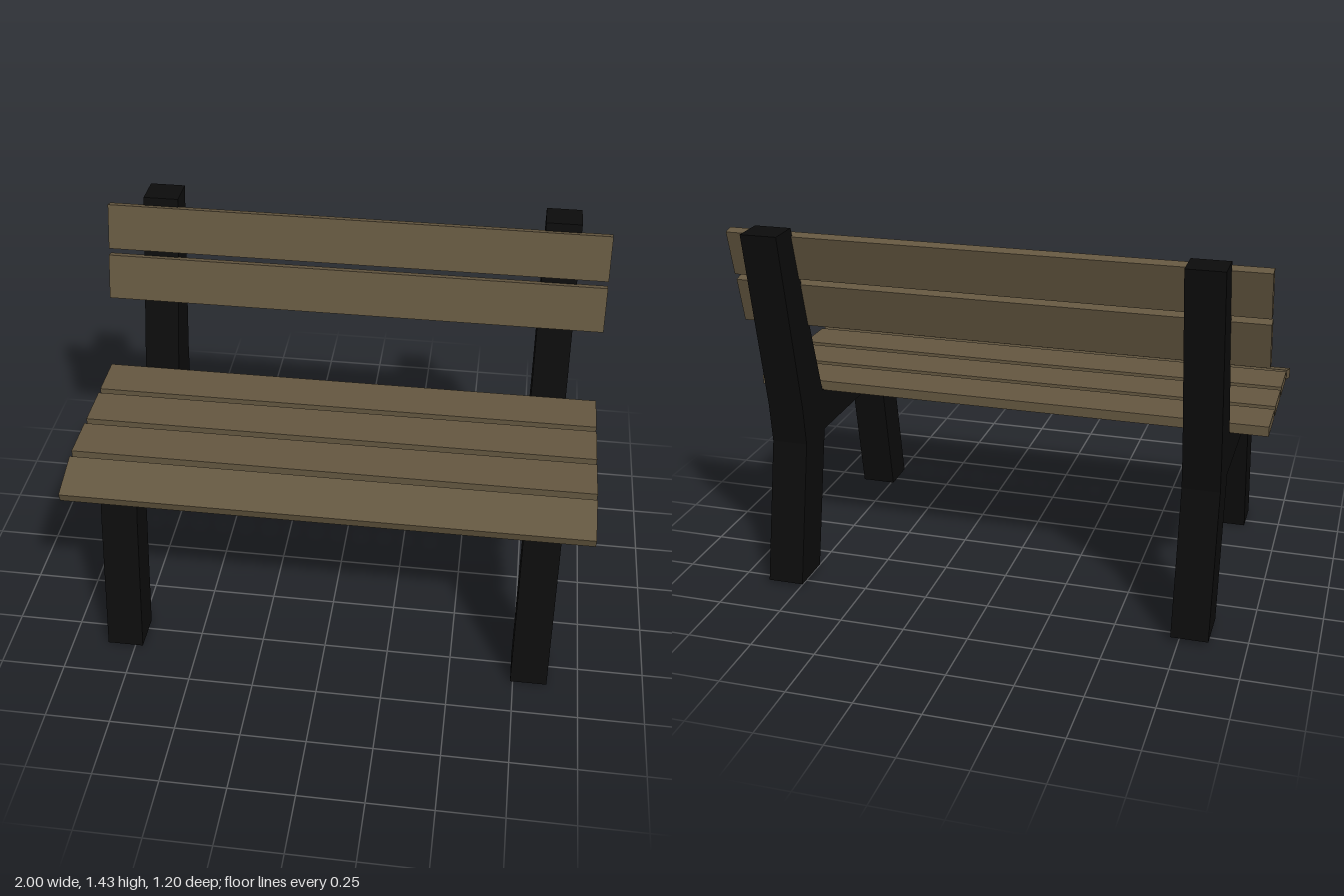
import * as THREE from 'three';

export function createModel() {
  const bench = new THREE.Group();
  bench.name = 'bench';

  const wood = new THREE.MeshStandardMaterial({ color: 0x645740 });
  wood.name = 'brown wood';
  const iron = new THREE.MeshStandardMaterial({ color: 0x0c0c0c });
  iron.name = 'black frame';

  // Side frame outline as [z, y]: legs, seat rail and backrest post in one piece
  const outline = [
    [0.60, 0.003], [0.495, 0.565], [0.463, 0.68], [0.35, 0.724], [-0.27, 0.724],
    [-0.415, 1.222], [-0.472, 1.43], [-0.598, 1.428], [-0.462, 0.724], [-0.445, 0.565],
    [-0.56, 0.015], [-0.387, 0.015], [-0.27, 0.561], [0.352, 0.561], [0.453, 0],
  ];
  const shape = new THREE.Shape(outline.map(([z, y]) => new THREE.Vector2(z, y)));
  const frameGeometry = new THREE.ExtrudeGeometry(shape, { depth: 0.14, bevelEnabled: false });
  frameGeometry.translate(0, 0, -0.07).rotateY(-Math.PI / 2);
  for (const [name, x] of [['leftFrame', 0.81], ['rightFrame', -0.79]]) {
    const frame = new THREE.Mesh(frameGeometry, iron);
    frame.name = name;
    frame.position.x = x;
    bench.add(frame);
  }

  // Planks run the full width; tilt turns them about x
  const addPlank = (name, y, z, height, depth, tilt = 0) => {
    const plank = new THREE.Mesh(new THREE.BoxGeometry(2, height, depth), wood);
    plank.name = name;
    plank.position.set(0, y, z);
    plank.rotation.x = tilt;
    bench.add(plank);
  };

  // Seat: three flat planks and a sloping front one
  [-0.166, 0.041, 0.25].forEach((z, i) => addPlank(`seatPlank${i + 1}`, 0.739, z, 0.038, 0.179));
  addPlank('frontSeatPlank', 0.71, 0.448, 0.038, 0.178, 0.3);

  // Backrest: two leaning planks
  addPlank('lowerBackPlank', 1.117, -0.374, 0.18, 0.038, -0.26);
  addPlank('upperBackPlank', 1.315, -0.431, 0.18, 0.038, -0.26);

  return bench;
}
